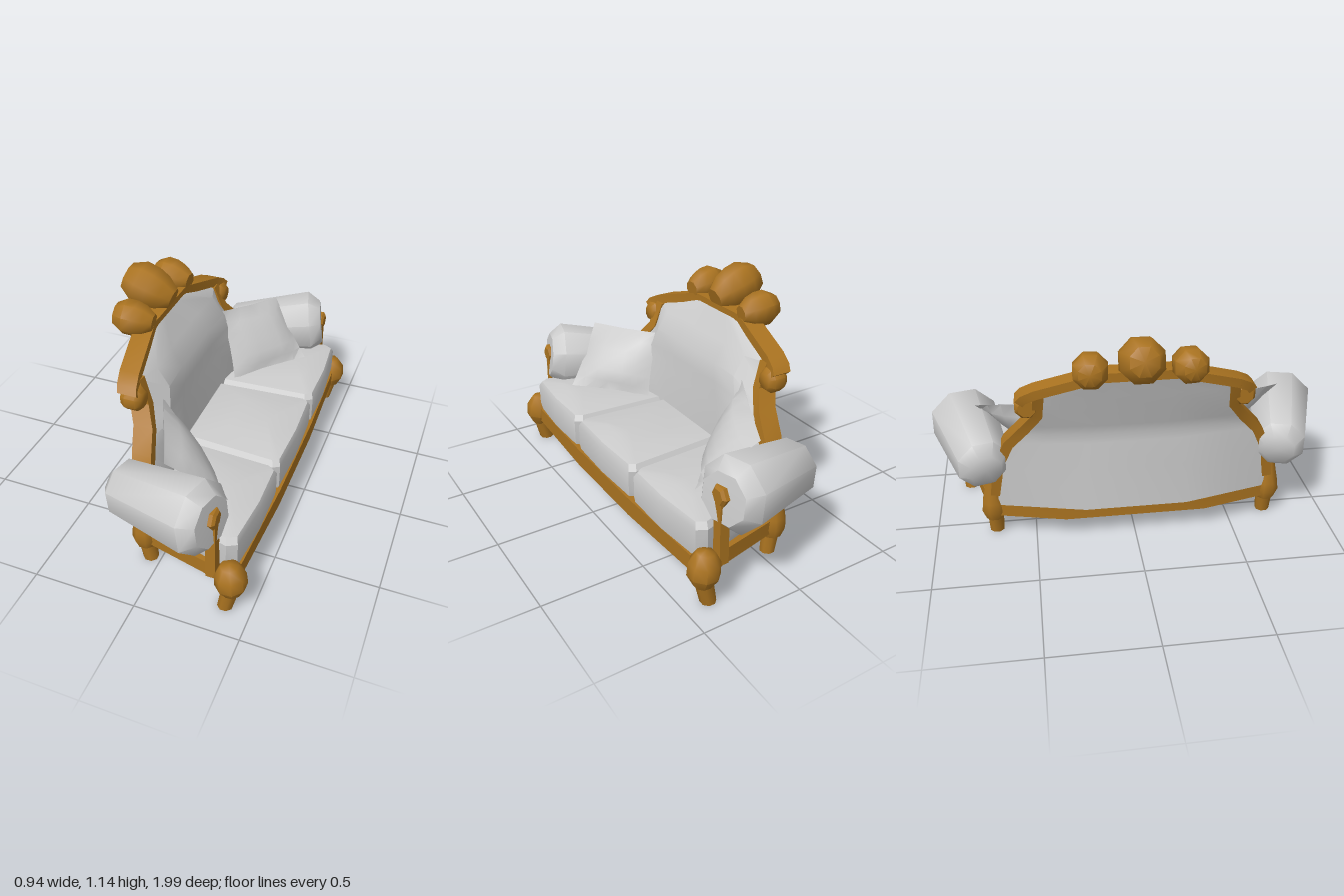
import * as THREE from 'three';
import { toCreasedNormals } from 'three/addons/utils/BufferGeometryUtils.js';

const fabric = new THREE.MeshStandardMaterial({ color: 0xcccccc });
const wood = new THREE.MeshStandardMaterial({ color: 0xaa7320 });
const V = (x, y, z) => new THREE.Vector3(x, y, z);

// Joins closed rings of points into a capped solid; winding is set so that faces point outward.
function loft(rings, crease = 0.5) {
  const tris = [];
  const add = (a, b, c) => {
    const n = b.clone().sub(a).cross(c.clone().sub(a));
    if (n.length() > 1e-7) tris.push([a, b, c]);
  };
  const n = rings[0].length;
  for (let r = 0; r < rings.length - 1; r++) {
    for (let i = 0; i < n; i++) {
      const j = (i + 1) % n;
      add(rings[r][i], rings[r][j], rings[r + 1][j]);
      add(rings[r][i], rings[r + 1][j], rings[r + 1][i]);
    }
  }
  const cap = (ring, flip) => {
    const c = ring.reduce((s, p) => s.add(p), V(0, 0, 0)).divideScalar(n);
    ring.forEach((p, i) => {
      const q = ring[(i + 1) % n];
      flip ? add(c, q, p) : add(c, p, q);
    });
  };
  cap(rings[0], true);
  cap(rings[rings.length - 1], false);
  const volume = tris.reduce((s, [a, b, c]) => s + a.dot(b.clone().cross(c)), 0);
  const points = tris.flatMap(([a, b, c]) => (volume < 0 ? [a, c, b] : [a, b, c]));
  return toCreasedNormals(new THREE.BufferGeometry().setFromPoints(points), crease);
}

// Turned part: profile of [radius, distance] from a point along a direction, its flats kept upright.
function turned(profile, sides, start, dir, crease = 0.9) {
  const g = new THREE.LatheGeometry(profile.map(([r, y]) => new THREE.Vector2(r, y)), sides, Math.PI / sides);
  const axis = dir.clone().normalize();
  const across = (Math.abs(axis.y) > 0.7 ? V(0, 0, 1) : V(0, 1, 0)).cross(axis).normalize();
  g.applyMatrix4(new THREE.Matrix4().makeBasis(across, axis, across.clone().cross(axis)).setPosition(start));
  return toCreasedNormals(g, crease);
}

// Leaning leg with a level foot, from x0 on the floor to x1 at the given height.
function leg(x0, x1, height, z) {
  return loft([[x0, 0, 0.037], [x1, height, 0.044]].map(([x, y, r]) =>
    Array.from({ length: 8 }, (_, i) => {
      const a = (i + 0.5) * Math.PI / 4;
      return V(x + r * Math.cos(a), y, z + r * Math.sin(a));
    })), 0.9);
}

// Piecewise linear lookup in a list of [key, value].
function lookup(table, k) {
  for (let i = 1; i < table.length; i++) {
    const [a, va] = table[i - 1], [b, vb] = table[i];
    if (k <= b) return va + (vb - va) * Math.max(0, (k - a) / (b - a));
  }
  return table[table.length - 1][1];
}

// Front and rear faces of the reclined backrest, wrapping forward most at its foot.
const wrap = (y, z) => lookup([[0.2, 0.24], [0.75, 0.1]], y) * Math.max(0, Math.abs(z) - 0.25);
const rearX = (y, z) => lookup([[0.18, -0.215], [0.6, -0.2], [0.95, -0.315]], y) + wrap(y, z);
const frontX = (y, z) => lookup([[0.18, -0.05], [0.4, -0.06], [0.74, -0.1], [0.95, -0.235]], y) + wrap(y, z);

// Rectangular moulding following a path of [z, y] on the backrest.
function moulding(path, width) {
  return loft(path.map(([z, y], i) => {
    const a = path[Math.max(0, i - 1)], b = path[Math.min(path.length - 1, i + 1)];
    const l = Math.hypot(b[0] - a[0], b[1] - a[1]);
    const nz = -(b[1] - a[1]) / l * width / 2, ny = (b[0] - a[0]) / l * width / 2;
    const r = rearX(y, z) - 0.006, f = r + 0.094;
    return [V(f, y + ny, z + nz), V(r, y + ny, z + nz), V(r, y - ny, z - nz), V(f, y - ny, z - nz)];
  }));
}

// Seat cushion from a plan outline of [x, z], with rounded shoulder and crowned top.
function cushion(plan) {
  const cx = plan.reduce((s, p) => s + p[0], 0) / plan.length;
  const cz = plan.reduce((s, p) => s + p[1], 0) / plan.length;
  const levels = [[0.2, 0.97], [0.24, 1], [0.352, 1], [0.38, 0.93], [0.402, 0.45]];
  return loft(levels.map(([y, s]) => plan.map(([x, z]) => V(cx + (x - cx) * s, y, cz + (z - cz) * s))), 0.45);
}

// Puffed pillow stretched between four corners.
function pillow(a, b, c, d) {
  const N = 6;
  const normal = b.clone().sub(a).cross(c.clone().sub(a)).normalize();
  const at = (i, j, side) => {
    const u = i / N, v = j / N;
    const pu = Math.sin(Math.PI * u), pv = Math.sin(Math.PI * v);
    // edges curve slightly inward between the corners
    const u2 = u + (0.5 - u) * 0.04 * pv, v2 = v + (0.5 - v) * 0.04 * pu;
    const p = a.clone().lerp(b, u2).lerp(c.clone().lerp(d, u2), v2);
    return p.addScaledVector(normal, side * 0.06 * Math.sqrt(Math.max(0, pu * pv)));
  };
  const rings = [];
  for (let j = 0; j <= N; j++) {
    const ring = [];
    for (let i = 0; i <= N; i++) ring.push(at(i, j, 1));
    for (let i = N - 1; i > 0; i--) ring.push(at(i, j, -1));
    rings.push(ring);
  }
  return loft(rings, 0.7);
}

export function createModel() {
  const group = new THREE.Group();
  const add = (name, geometry, material) => {
    const m = new THREE.Mesh(geometry, material);
    m.name = name;
    group.add(m);
  };

  // Wooden base tray
  const half = [[0.444, 0.27], [0.424, 0.84], [0.33, 0.83], [-0.1, 0.72], [-0.19, 0.35]];
  const plan = [...half, ...half.map(([x, z]) => [x, -z]).reverse()];
  add('baseRail', loft([0, 1].map(t => plan.map(([x, z]) =>
    V(x, t ? 0.189 + 0.06 * x : 0.115 + 0.06 * Math.max(0, x) * Math.abs(z), z)))), wood);

  // Upholstered backrest, thinner at its sides
  const outline = [[0.18, 0.68], [0.4, 0.67], [0.55, 0.61], [0.6, 0.56], [0.65, 0.5], [0.74, 0.455], [0.83, 0.455], [0.94, 0.18]];
  const across = [-1, -0.75, -0.37, 0.37, 0.75, 1];
  add('backrest', loft(outline.map(([y, w]) => [
    ...across.map(t => V(Math.abs(t) === 1 ? rearX(y, w) + 0.07 : frontX(y, t * w), y, t * w)),
    ...[...across].reverse().map(t => V(rearX(y, t * w), y, t * w)),
  ])), fabric);

  // Crest rail across the top and the central carved bud
  const rail = [[0.545, 0.8], [0.525, 0.825], [0.47, 0.853], [0.18, 0.943]];
  add('crestRail', moulding([...rail, ...rail.map(([z, y]) => [-z, y]).reverse()], 0.045), wood);
  const bud = (r, l) => [[0, 0], [r * 0.5, 0], [r * 0.85, l * 0.22], [r, l * 0.45], [r, l * 0.7], [r * 0.65, l * 0.95], [0, l]];
  add('centreBud', turned(bud(0.108, 0.26), 8, V(-0.215, 0.99, 0), V(-0.25, 0.085, 0)), wood);

  // Middle cushion
  add('middleCushion', cushion([[-0.08, -0.25], [0.4, -0.28], [0.432, -0.26], [0.442, 0],
    [0.432, 0.26], [0.4, 0.28], [-0.08, 0.25]]), fabric);

  for (const s of [1, -1]) {
    const side = s > 0 ? 'left' : 'right';
    const name = part => side + part;

    add(name('Bud'), turned(bud(0.084, 0.195), 8, V(-0.218, 0.978, s * 0.212), V(-0.2, 0.022, s * 0.02)), wood);

    // Scroll and side post of the back frame
    add(name('Scroll'), turned([[0, 0], [0.042, 0], [0.06, 0.025], [0.06, 0.075], [0.038, 0.1], [0, 0.1]],
      8, V(-0.236, 0.77, s * 0.51), V(1, 0, 0)), wood);
    const post = [[0.455, 0.84], [0.465, 0.72], [0.53, 0.63], [0.61, 0.54], [0.665, 0.42], [0.69, 0.24]];
    add(name('BackPost'), moulding(post.map(([z, y]) => [s * z, y]), 0.05), wood);

    // Outer seat cushion
    add(name('Cushion'), cushion([[-0.08, 0.26], [0.395, 0.285], [0.432, 0.31], [0.436, 0.55],
      [0.415, 0.8], [0.37, 0.825], [-0.06, 0.7]].map(([x, z]) => [x, s * z])), fabric);

    // Bolster arm, wider at the front
    add(name('Arm'), turned([[0, 0], [0.08, 0], [0.133, 0.05], [0.174, 0.468], [0.12, 0.53], [0, 0.535]],
      8, V(-0.19, 0.432, s * 0.718), V(0.49, 0.066, s * 0.13), 0.8), fabric);

    // Arm support with a six-sided rosette
    const supportRing = (x, y, w) => [[-1, -1], [1, -1], [1, 1], [-1, 1]].map(([p, q]) =>
      V(x + p * 0.023, y, s * 0.838 + q * w));
    add(name('ArmSupport'), loft([supportRing(0.315, 0.18, 0.03), supportRing(0.311, 0.5, 0.021)]), wood);
    add(name('ArmRosette'), turned([[0, 0], [0.05, 0], [0.05, 0.03], [0.036, 0.042], [0, 0.042]],
      6, V(0.298, 0.513, s * 0.84), V(1, 0, 0), 0.4), wood);

    // Front leg, splayed forward below a carved knee
    add(name('FrontLeg'), leg(0.378, 0.413, 0.17, s * 0.845), wood);
    add(name('FrontKnee'), turned([[0, 0], [0.04, 0], [0.074, 0.055], [0.072, 0.115], [0.042, 0.165], [0, 0.175]],
      8, V(0.41, 0.1, s * 0.848), V(-0.015, 0.17, 0)), wood);

    // Back leg with a taller tapering knee
    add(name('BackLeg'), leg(-0.053, -0.07, 0.13, s * 0.7), wood);
    add(name('BackKnee'), turned([[0, 0], [0.045, 0], [0.064, 0.05], [0.058, 0.1], [0.03, 0.235], [0, 0.24]],
      8, V(-0.07, 0.09, s * 0.705), V(-0.005, 0.24, 0)), wood);

    // Loose pillow leaning into the corner
    const lift = s > 0 ? 0 : 0.035;
    add(name('Pillow'), pillow(V(-0.11, 0.7 + lift, s * 0.38), V(0.07, 0.67 - lift / 2, s * 0.765),
      V(0, 0.36, s * 0.3), V(0.3, 0.4, s * 0.61)), fabric);
  }
  return group;
}
